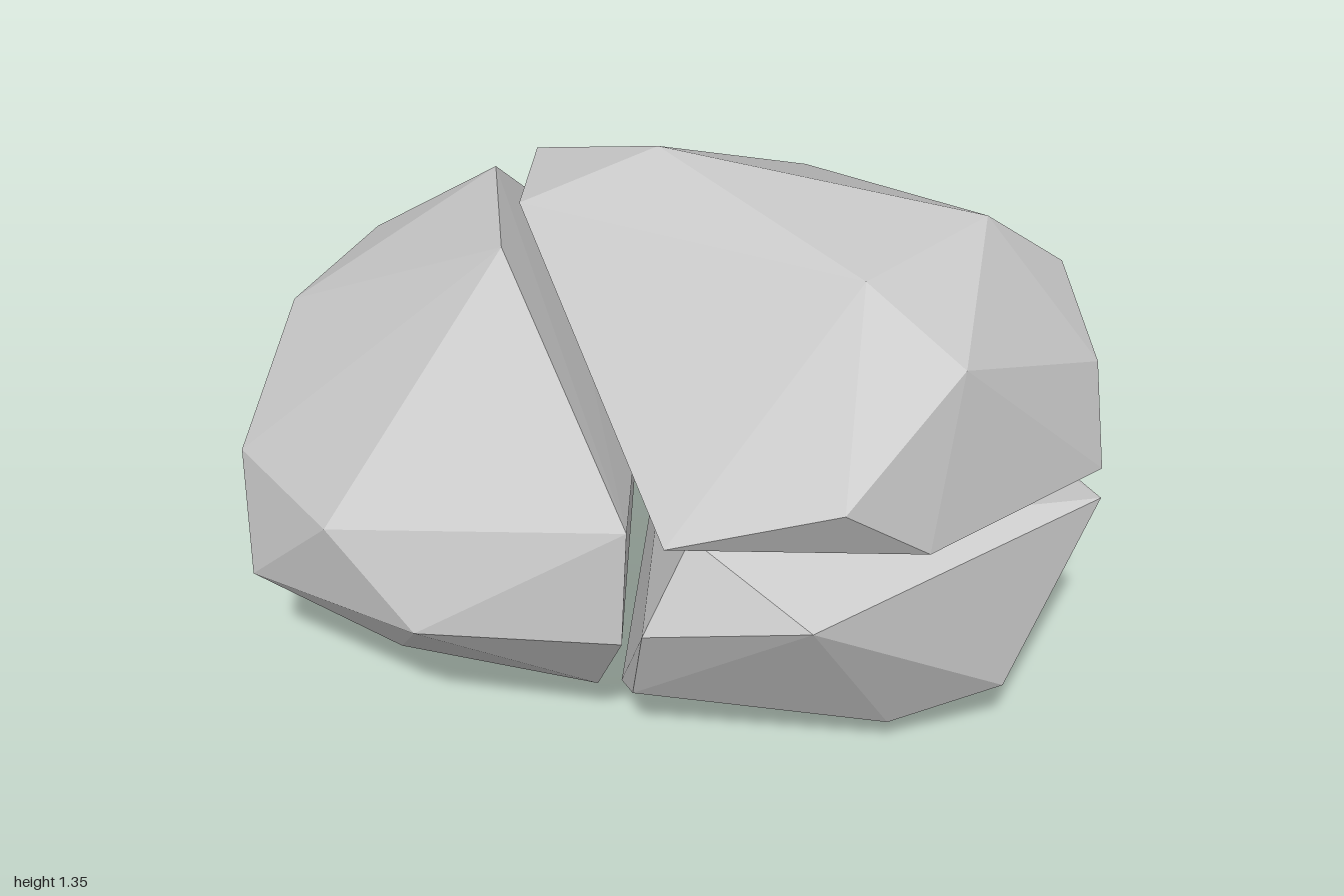
import * as THREE from 'three';
import { ConvexGeometry } from 'three/addons/geometries/ConvexGeometry.js';

// Corner points of each faceted chunk of the split boulder
const chunks = {
  upperChunk: [
    // top ridge
    [-0.32, 1.24, -0.295], [-0.30, 1.25, -0.035], [-0.02, 1.35, -0.16], [0.48, 1.29, 0.205], [0.70, 1.31, -0.07],
    // shoulders
    [0.70, 1.13, 0.25], [0.86, 1.14, -0.20], [0.96, 0.97, -0.08], [0.49, 0.89, 0.47],
    [0.26, 1.157, -0.48], [0.66, 1.03, -0.425], [-0.20, 0.97, -0.43],
    // underside
    [0.115, 0.757, 0.48], [0.66, 0.727, 0.35], [0.995, 0.725, -0.03],
    [0.745, 0.68, -0.305], [0.35, 0.717, -0.49], [-0.04, 0.68, -0.47],
  ],
  sideChunk: [
    // peak and split face
    [-0.40, 1.22, -0.23], [-0.32, 1.19, 0.055], [0.03, 0.765, 0.45], [-0.32, 1.0, -0.44],
    [-0.11, 0.62, -0.46], [-0.15, 0.49, -0.455], [0.02, 0.47, 0.46],
    // outer side
    [-0.435, 0.455, 0.49], [-0.65, 0.645, 0.405], [-0.93, 0.62, 0.12], [-0.885, 0.365, 0.245],
    [-1.0, 0.515, -0.22], [-0.885, 0.835, -0.195], [-0.73, 0.94, -0.38], [-0.81, 0.47, -0.40],
    // underside
    [-0.83, 0.29, -0.18], [-0.52, 0.265, 0.315], [-0.08, 0.17, 0.25], [-0.11, 0.20, -0.16],
  ],
  lowerChunk: [
    // top face
    [0.15, 0.70, 0.357], [1.0, 0.66, -0.01], [0.87, 0.638, -0.19], [0.60, 0.62, -0.44], [-0.03, 0.62, -0.445],
    // sides
    [0.435, 0.575, 0.475], [0.06, 0.48, 0.44], [0.015, 0.215, 0.32], [-0.02, 0.45, -0.435],
    [0.83, 0.215, 0.135], [0.855, 0.14, -0.14],
    // base
    [0.58, 0.11, 0.19], [0.57, 0.115, -0.245], [0.15, 0.055, 0.115], [0.58, 0, -0.02], [-0.035, 0.145, 0.20],
  ],
};

export function createModel() {
  const stone = new THREE.MeshStandardMaterial({ color: 0xc8c8c8 });
  stone.name = 'stoneGrey';

  const group = new THREE.Group();
  group.name = 'splitBoulder';
  for (const [name, corners] of Object.entries(chunks)) {
    const points = corners.map((c) => new THREE.Vector3(...c));
    const mesh = new THREE.Mesh(new ConvexGeometry(points), stone);
    mesh.name = name;
    group.add(mesh);
  }
  return group;
}
